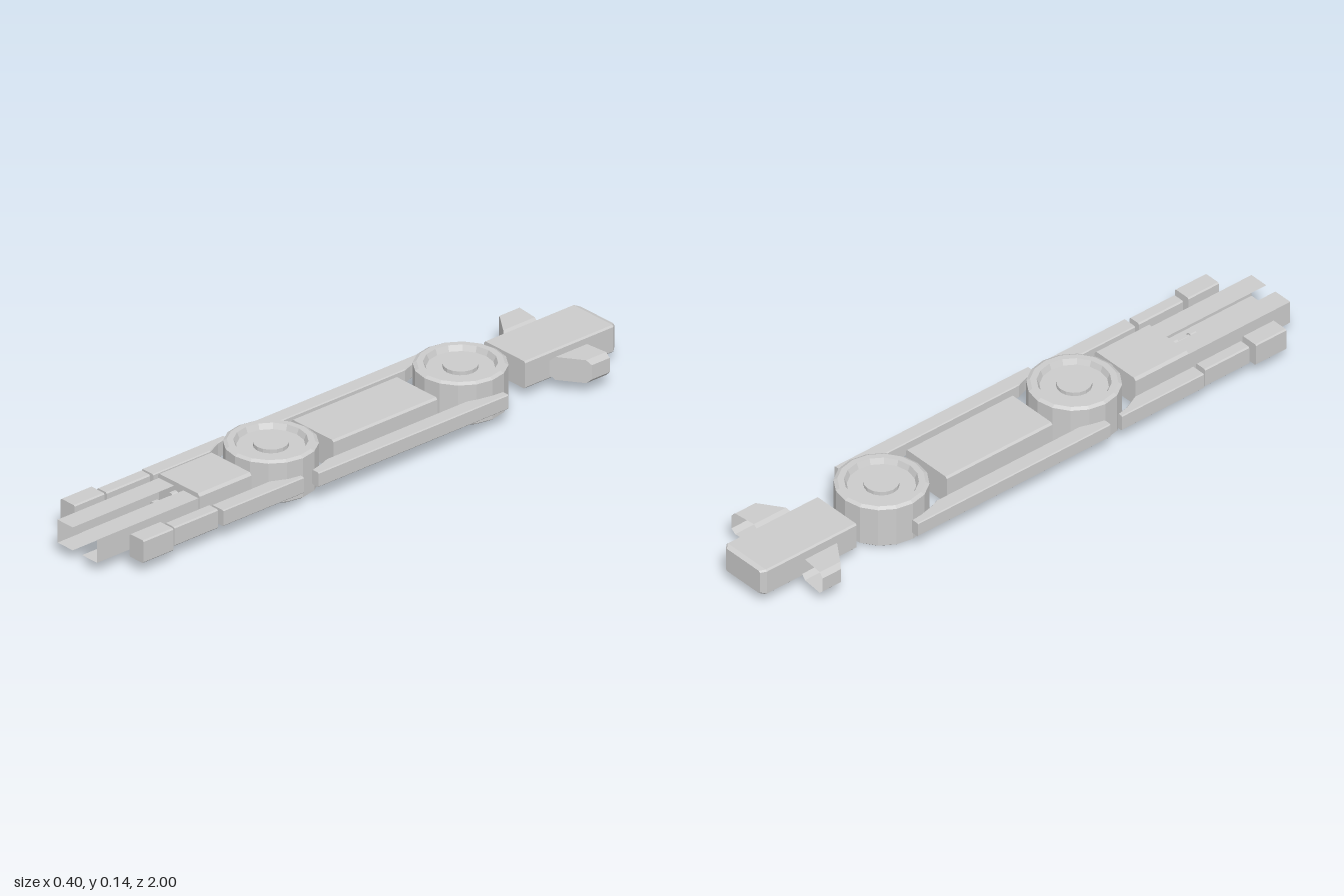
import * as THREE from 'three';

const solid = new THREE.MeshStandardMaterial({ color: 0xcccccc, flatShading: true });
const thin = new THREE.MeshStandardMaterial({ color: 0xcccccc, flatShading: true, side: THREE.DoubleSide });

// Rectangle with cut corners, counter-clockwise seen from +z
function ring(x0, x1, y0, y1, c = 0.004) {
  return [[x0 + c, y0], [x1 - c, y0], [x1, y0 + c], [x1, y1 - c],
    [x1 - c, y1], [x0 + c, y1], [x0, y1 - c], [x0, y0 + c]];
}

// Skin over cross-sections [points, z or z(x)], ordered from back to front
function loft(sections, { closed = true, backCap = true, frontCap = true } = {}) {
  const rows = sections.map(([pts, z]) =>
    pts.map(([x, y]) => [x, y, typeof z === 'function' ? z(x) : z]));
  const pos = [];
  const n = rows[0].length;
  for (let r = 0; r < rows.length - 1; r++) {
    for (let i = 0; i < (closed ? n : n - 1); i++) {
      const j = (i + 1) % n;
      const [a, b, c, d] = [rows[r][i], rows[r][j], rows[r + 1][j], rows[r + 1][i]];
      pos.push(...a, ...b, ...c, ...a, ...c, ...d);
    }
  }
  const back = rows[0], front = rows[rows.length - 1];
  for (let i = 1; i < n - 1; i++) {
    if (closed && backCap) pos.push(...back[0], ...back[i + 1], ...back[i]);
    if (closed && frontCap) pos.push(...front[0], ...front[i], ...front[i + 1]);
  }
  const g = new THREE.BufferGeometry();
  g.setAttribute('position', new THREE.Float32BufferAttribute(pos, 3));
  g.computeVertexNormals();
  return g;
}

export function createModel() {
  const model = new THREE.Group();
  const add = (name, geometry, material = solid) => {
    const mesh = new THREE.Mesh(geometry, material);
    mesh.name = name;
    model.add(mesh);
    return mesh;
  };
  const block = (name, x0, x1, y0, y1, z0, z1, c) =>
    add(name, loft([[ring(x0, x1, y0, y1, c), z0], [ring(x0, x1, y0, y1, c), z1]]));

  // Round joints with a raised rim, a recessed dish and a hub
  const profile = [[0, 0], [0.11, 0], [0.115, 0.004], [0.132, 0.006], [0.138, 0.011],
    [0.138, 0.137], [0.127, 0.143], [0.108, 0.143], [0.1, 0.126], [0.052, 0.126],
    [0.052, 0.138], [0, 0.138]].map(([x, y]) => new THREE.Vector2(x, y));
  for (const [name, z] of [['rearJoint', -0.475], ['frontJoint', 0.255]]) {
    add(name, new THREE.LatheGeometry(profile, 16)).position.z = z;
  }

  // Central blocks
  block('middleBeam', -0.09, 0.09, 0.027, 0.12, -0.305, 0.095, 0.006);
  block('frontBlock', -0.09, 0.09, 0.03, 0.124, 0.41, 0.61, 0.008);
  add('tailBlock', loft([
    [ring(-0.075, 0.075, 0.034, 0.113, 0.005), -1],
    [ring(-0.088, 0.088, 0.03, 0.118, 0.005), -0.985],
    [ring(-0.088, 0.088, 0.03, 0.118, 0.005), -0.645],
  ]));

  // Small latch between the prongs
  block('latchHead', -0.013, 0.013, 0.045, 0.105, 0.62, 0.642, 0.008);
  block('latchStem', -0.006, 0.006, 0.055, 0.095, 0.642, 0.69, 0.003);
  block('latchTip', -0.01, 0.01, 0.05, 0.1, 0.69, 0.712, 0.006);

  for (const s of [1, -1]) {
    const side = s > 0 ? 'left' : 'right';
    // Cross-section spanning inner to outer distance on this side
    const span = (inner, outer, y0, y1, c) => s > 0
      ? ring(inner, outer, y0, y1, c) : ring(-outer, -inner, y0, y1, c);

    // Long rail, notched around both joints
    const rail = (inner, z) => [span(inner, 0.183, 0.053, 0.1, 0.003), z];
    add(side + 'Rail', loft([rail(0.157, -0.495), rail(0.154, -0.46), rail(0.143, -0.41),
      rail(0.132, -0.38), rail(0.132, 0.16), rail(0.143, 0.19), rail(0.155, 0.235)]));

    // Three-part forearm
    const arm = (inner, z) => [span(inner, 0.175, 0.048, 0.1, 0.003), z];
    add(side + 'UpperArm', loft([arm(0.158, 0.285), arm(0.15, 0.325), arm(0.126, 0.375), arm(0.126, 0.595)]));
    add(side + 'LowerArm', loft([[span(0.125, 0.166, 0.042, 0.104), 0.608], [span(0.125, 0.166, 0.042, 0.104), 0.775]]));
    add(side + 'Hand', loft([[span(0.118, 0.178, 0.037, 0.11), 0.79], [span(0.118, 0.178, 0.037, 0.11), 0.905]]));

    // Prong: thin channel open toward the middle
    const channel = [[0.02, 0.036], [0.085, 0.036], [0.085, 0.11], [0.02, 0.11]].map(([x, y]) => [s * x, y]);
    if (s < 0) channel.reverse();
    add(side + 'Prong', loft([[channel, 0.61], [channel, 1]], { closed: false }), thin);

    // Tail fin: hollow at the back, slanted at the front
    const fin = span(0.098, 0.2, 0.036, 0.11, 0.014);
    add(side + 'Fin', loft([
      [fin, (x) => -0.86 - 0.1 * (Math.abs(x) - 0.098)],
      [fin, (x) => -0.73 - 0.7 * (Math.abs(x) - 0.098)],
    ], { backCap: false }), thin);
  }
  return model;
}
